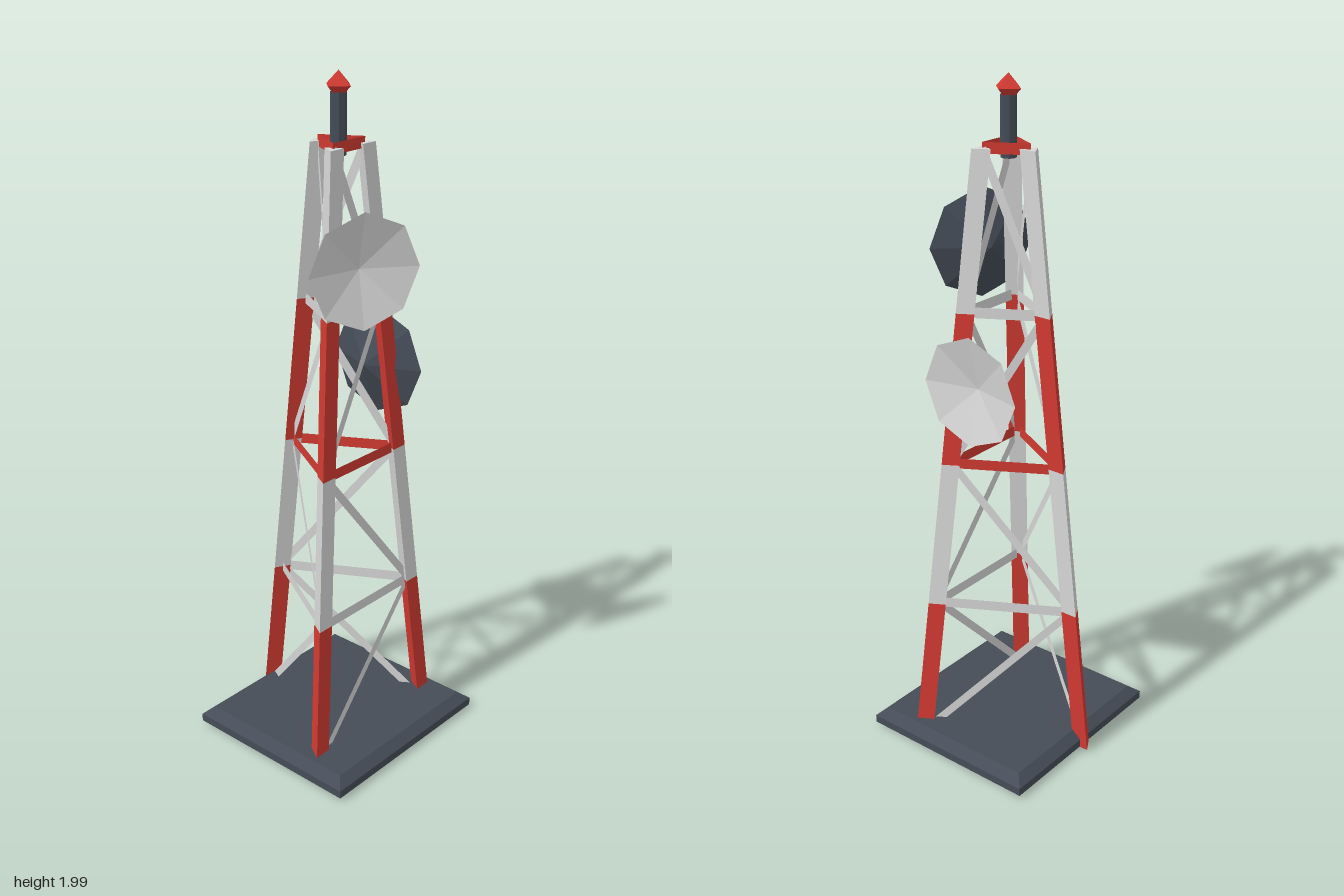
import * as THREE from 'three';

const flat = (name, color) => new THREE.MeshStandardMaterial({ name, color, flatShading: true, side: THREE.DoubleSide });

export function createModel() {
  const red = flat('signal red', 0xd03a31);
  const white = flat('pale grey', 0xd6d6d6);
  const dark = flat('slate', 0x454c57);
  const tower = new THREE.Group();
  tower.name = 'radioTower';

  const add = (parent, name, geometry, material, x = 0, y = 0, z = 0) => {
    const mesh = new THREE.Mesh(geometry, material);
    mesh.name = name;
    mesh.position.set(x, y, z);
    parent.add(mesh);
    return mesh;
  };

  // Bevelled base slab
  const slab = (top, h) => new THREE.CylinderGeometry(Math.SQRT2 * top, Math.SQRT2, h, 4, 1, false, Math.PI / 4).scale(0.31, 1, 0.285);
  add(tower, 'baseSlab', slab(1, 0.024), dark, 0, 0.036, 0.01);
  add(tower, 'baseBevel', slab(0.9, 0.024), dark, 0, 0.06, 0.01);

  // Leg axes: bottom and top centres, and the way the triangular section points
  const bottomY = 0.022, topY = 1.81, levels = 4;
  const legs = [
    { name: 'frontRightLeg', from: [-0.241, 0.15], to: [-0.064, 0.05], turn: Math.PI },
    { name: 'frontLeftLeg', from: [0.241, 0.15], to: [0.064, 0.05], turn: Math.PI },
    { name: 'backLeg', from: [-0.001, -0.275], to: [-0.001, -0.062], turn: -Math.PI / 2 },
  ];
  const legPoint = (leg, level) => {
    const t = level / levels;
    return new THREE.Vector3(
      THREE.MathUtils.lerp(leg.from[0], leg.to[0], t),
      THREE.MathUtils.lerp(bottomY, topY, t),
      THREE.MathUtils.lerp(leg.from[1], leg.to[1], t));
  };

  // Three-sided legs, sheared inwards, in alternating colour bands
  for (const leg of legs) {
    const group = new THREE.Group();
    group.name = leg.name;
    for (let i = 0; i < levels; i++) {
      const a = legPoint(leg, i), b = legPoint(leg, i + 1), h = b.y - a.y;
      const section = new THREE.CylinderGeometry(0.03, 0.03, h, 3, 1, false, leg.turn);
      section.applyMatrix4(new THREE.Matrix4().set(
        1, (b.x - a.x) / h, 0, (a.x + b.x) / 2,
        0, 1, 0, (a.y + b.y) / 2,
        0, (b.z - a.z) / h, 1, (a.z + b.z) / 2,
        0, 0, 0, 1));
      add(group, 'legBand', section, i % 2 ? white : red);
    }
    tower.add(group);
  }

  // Flat strip between two points, standing upright
  const strip = (a, b, width) => {
    const dir = b.clone().sub(a).normalize();
    const normal = dir.clone().cross(new THREE.Vector3(0, 1, 0)).normalize();
    const side = normal.cross(dir).multiplyScalar(width / 2);
    const corners = [a.clone().sub(side), b.clone().sub(side), b.clone().add(side), a.clone().add(side)];
    const geometry = new THREE.BufferGeometry().setFromPoints(corners);
    geometry.setIndex([0, 1, 2, 0, 2, 3]);
    geometry.computeVertexNormals();
    return geometry;
  };

  // Cross beams and zigzag braces on the three faces
  legs.forEach((leg, n) => {
    const next = legs[(n + 1) % 3];
    for (let i = 0; i < levels; i++) {
      const up = i % 2 === 0;
      add(tower, 'brace', strip(legPoint(leg, up ? i : i + 1), legPoint(next, up ? i + 1 : i), 0.024), white);
      add(tower, 'crossBeam', strip(legPoint(leg, i + 1), legPoint(next, i + 1), 0.031), up ? white : red);
    }
  });

  // Mast and beacon
  add(tower, 'mast', new THREE.CylinderGeometry(0.022, 0.022, 0.165, 8), dark, 0, 1.8625, 0.012);
  add(tower, 'beaconTop', new THREE.ConeGeometry(0.042, 0.038, 4), red, 0, 1.981, 0.012);
  add(tower, 'beaconBottom', new THREE.CylinderGeometry(0.042, 0.018, 0.024, 4), red, 0, 1.95, 0.012);

  // Octagonal dishes: dark outer cone, shallower pale inner cone
  const cone = (depth) => new THREE.ConeGeometry(0.161, depth, 8, 1, true).rotateX(-Math.PI / 2).translate(0, 0, -depth / 2);
  const dish = (name, x, y, z, turn) => {
    const group = new THREE.Group();
    group.name = name;
    add(group, 'dishBack', cone(0.065), dark);
    add(group, 'dishFace', cone(0.038), white);
    group.position.set(x, y, z);
    group.rotation.y = turn;
    tower.add(group);
  };
  dish('frontDish', -0.073, 1.505, 0.169, -0.43);
  dish('sideDish', 0.172, 1.16, 0.013, Math.PI / 2);

  return tower;
}
